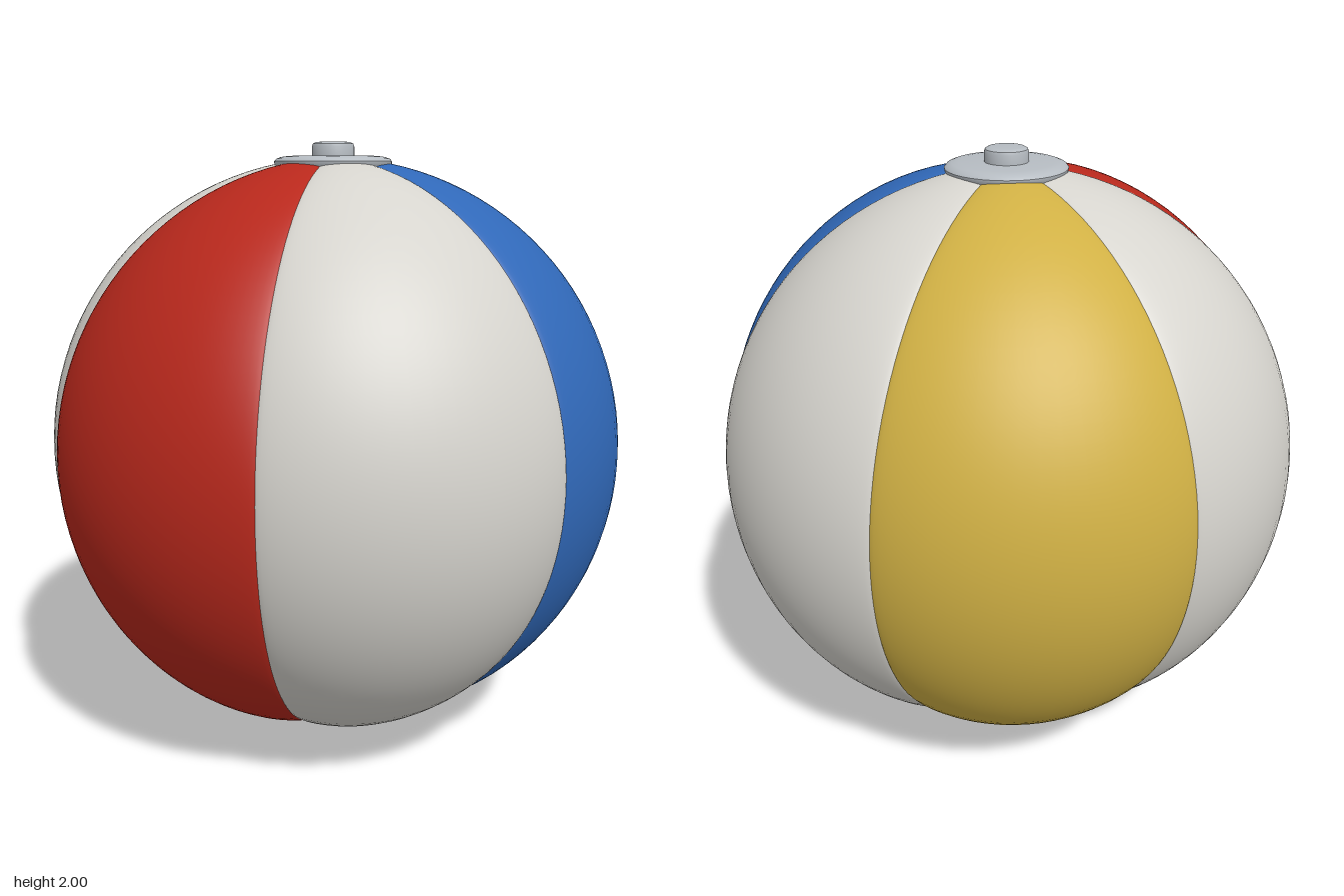
import * as THREE from 'three';
import { toCreasedNormals } from 'three/addons/utils/BufferGeometryUtils.js';

const RADIUS = 0.97, CENTRE = 0.98, SEAM_DEPTH = 0.035;
const WHITE = 0xd6d4ce, BLUE = 0x3068b8, RED = 0xb8281c, YELLOW = 0xd0b044, PLASTIC = 0xb6bcc2;

// One inflated panel spanning 60 degrees, pulled in along its two seams
function panelGeometry(start) {
  const cols = 24, rows = 56, positions = [], index = [];
  for (let j = 0; j <= rows; j++) {
    const phi = 0.02 + (j / rows) * (Math.PI - 0.04);
    for (let i = 0; i <= cols; i++) {
      const u = (1 - Math.cos((i / cols) * Math.PI)) / 2; // denser beside the seams
      const theta = start + (u * Math.PI) / 3;
      const puff = Math.pow(Math.max(0, Math.sin(u * Math.PI)), 0.6);
      const r = RADIUS - SEAM_DEPTH * (1 - puff) * Math.pow(Math.sin(phi), 0.7);
      positions.push(
        r * Math.sin(phi) * Math.cos(theta),
        CENTRE + r * Math.cos(phi),
        r * Math.sin(phi) * Math.sin(theta));
      if (i < cols && j < rows) {
        const a = j * (cols + 1) + i, b = a + cols + 1;
        index.push(a, a + 1, b, a + 1, b + 1, b);
      }
    }
  }
  const geometry = new THREE.BufferGeometry();
  geometry.setAttribute('position', new THREE.Float32BufferAttribute(positions, 3));
  geometry.setIndex(index);
  geometry.computeVertexNormals();
  return geometry;
}

// Turned part from [radius, height] points, listed from bottom to top
function turned(points, segments = 64) {
  const profile = points.map(([r, y]) => new THREE.Vector2(r, y));
  return toCreasedNormals(new THREE.LatheGeometry(profile, segments), 0.7);
}

export function createModel() {
  const ball = new THREE.Group();
  ball.name = 'beachBall';
  const add = (name, geometry, color) => {
    const mesh = new THREE.Mesh(geometry, new THREE.MeshStandardMaterial({ color }));
    mesh.name = name;
    ball.add(mesh);
  };

  // Six panels, starting at the left seam and going round through the front
  const panels = [
    ['frontLeftPanel', BLUE], ['frontPanel', WHITE], ['frontRightPanel', RED],
    ['backRightPanel', WHITE], ['backPanel', YELLOW], ['backLeftPanel', WHITE],
  ];
  panels.forEach(([name, color], k) => add(name, panelGeometry((k * Math.PI) / 3), color));

  // Top disc with a soft rim
  add('topDisc', turned([
    [0.185, 1.915], [0.194, 1.928], [0.195, 1.938], [0.188, 1.946], [0.172, 1.952], [0.15, 1.955], [0, 1.955],
  ]), PLASTIC);

  // Valve plug on the disc
  add('valvePlug', turned([
    [0.07, 1.95], [0.07, 1.985], [0.067, 1.994], [0.058, 1.999], [0.05, 2], [0, 2],
  ], 40), PLASTIC);

  // Small disc closing the bottom
  add('bottomDisc', turned([
    [0, 0], [0.08, 0], [0.093, 0.004], [0.1, 0.012], [0.098, 0.024],
  ], 48), PLASTIC);

  return ball;
}
